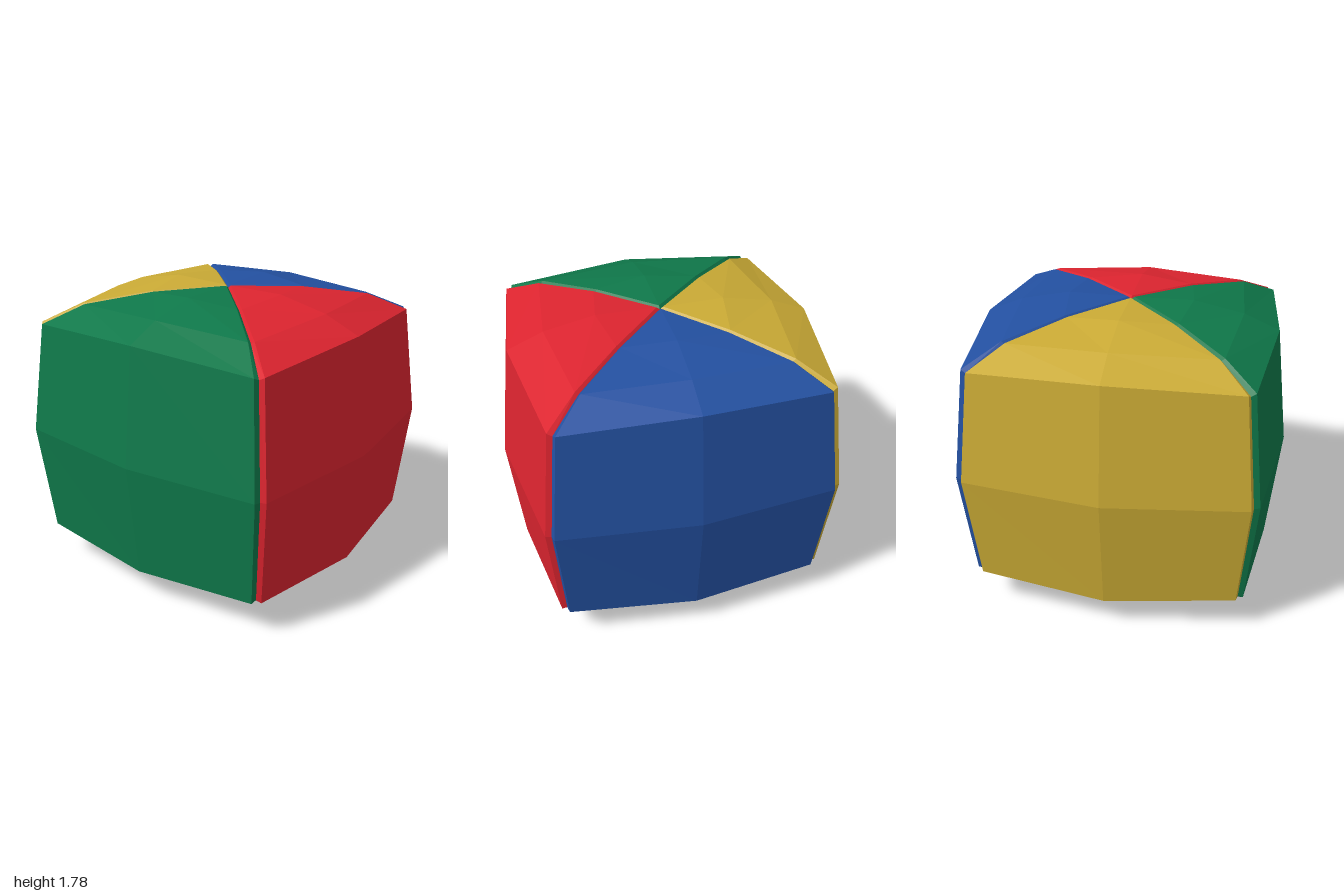
import * as THREE from 'three';

// Rows from top pole to bottom pole of one wedge facing +z:
// [ridge out, ridge y, corner out, corner across, corner y, seam out, seam y]
const ROWS = [
  [0.02, 1.78, 0.02, 0, 1.78, 0, 1.765],
  [0.39, 1.785, 0.335, 0.315, 1.76, 0.32, 1.745],
  [0.70, 1.722, 0.63, 0.605, 1.70, 0.61, 1.685],
  [0.92, 1.63, 0.82, 0.78, 1.59, 0.79, 1.575],
  [1.00, 0.912, 0.885, 0.84, 0.912, 0.85, 0.912],
  [0.92, 0.195, 0.82, 0.78, 0.232, 0.79, 0.247],
  [0.70, 0.08, 0.63, 0.605, 0.10, 0.61, 0.115],
  [0.39, 0, 0.335, 0.315, 0.025, 0.32, 0.04],
  [0.02, 0.005, 0.02, 0, 0.005, 0, 0.02],
];

// One solid wedge: faceted outer shell, bevelled seams, inner walls meeting at the axis
function wedgeGeometry(bulge) {
  const grid = ROWS.map(([ro, ry, co, ca, cy, so, sy]) => [
    [0, sy, 0], [-so, sy, so], [-ca, cy, co],
    [0, ry, ro * bulge],
    [ca, cy, co], [so, sy, so], [0, sy, 0],
  ].map((p) => new THREE.Vector3(...p)));

  const positions = [];
  const addTriangle = (a, b, c) => {
    if (new THREE.Triangle(a, b, c).getArea() < 1e-7) return;
    for (const p of [a, b, c]) positions.push(p.x, p.y, p.z);
  };
  for (let r = 0; r < grid.length - 1; r++) {
    for (let k = 0; k < grid[r].length - 1; k++) {
      const a = grid[r][k], b = grid[r][k + 1];
      const d = grid[r + 1][k], c = grid[r + 1][k + 1];
      addTriangle(a, d, c);
      addTriangle(a, c, b);
    }
  }
  const geometry = new THREE.BufferGeometry();
  geometry.setAttribute('position', new THREE.Float32BufferAttribute(positions, 3));
  geometry.computeVertexNormals();
  return geometry;
}

export function createModel() {
  const model = new THREE.Group();
  model.name = 'segmentedBlock';

  // Side wedges bulge a little further than the front and back ones
  const wedges = [
    ['frontWedge', 0x0f784a, 0.975],
    ['leftWedge', 0xdc242f, 1],
    ['backWedge', 0x2350a0, 0.975],
    ['rightWedge', 0xcaaa35, 1],
  ];
  wedges.forEach(([name, color, bulge], i) => {
    const material = new THREE.MeshStandardMaterial({ color, flatShading: true });
    const wedge = new THREE.Mesh(wedgeGeometry(bulge), material);
    wedge.name = name;
    wedge.rotation.y = (i * Math.PI) / 2;
    model.add(wedge);
  });
  return model;
}
